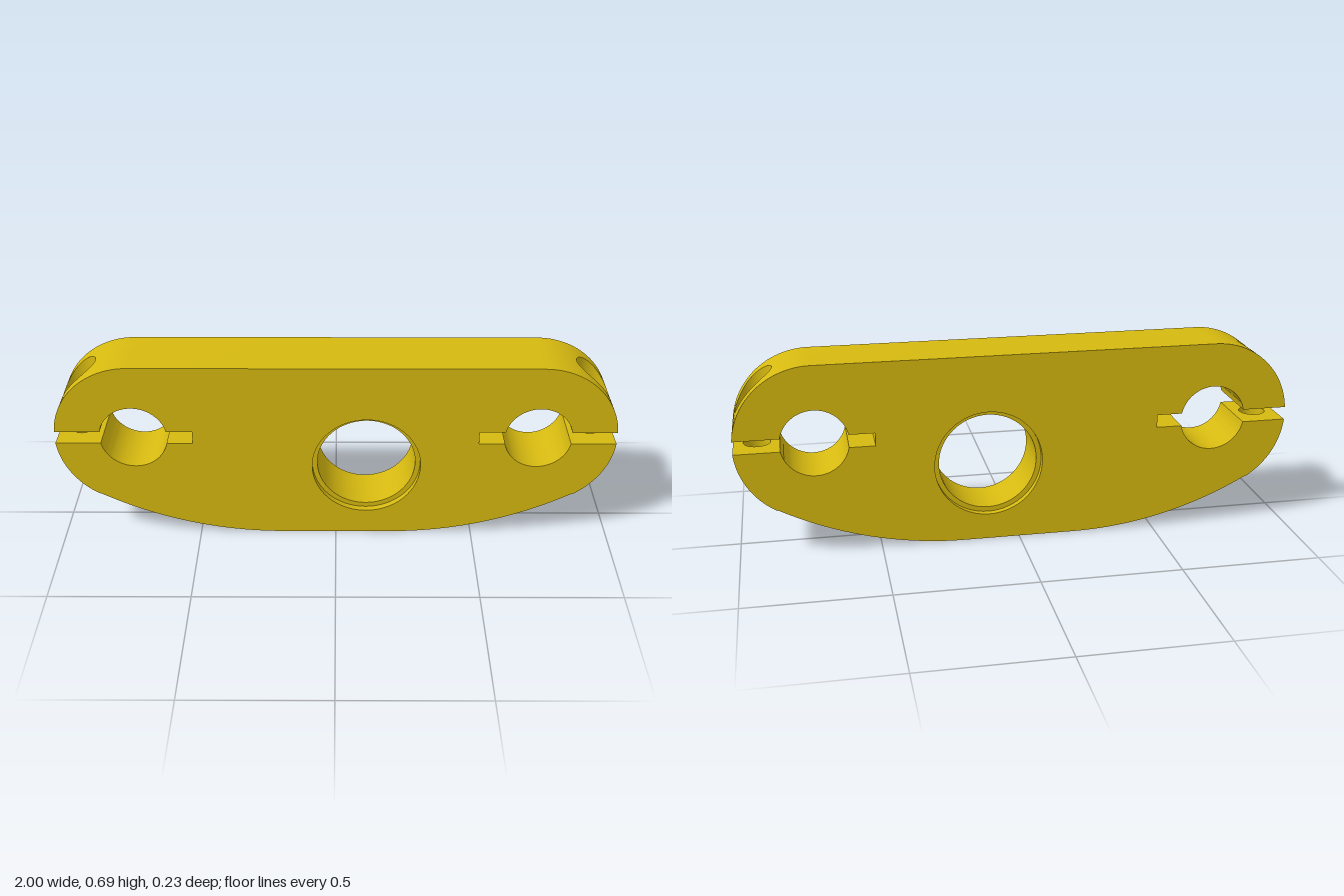
import * as THREE from 'three';
import { toCreasedNormals } from 'three/addons/utils/BufferGeometryUtils.js';

const H = 0.117;                          // half thickness
const CX = 0.72, CY = 0.41, R = 0.28;     // rounded end
const CLAMP_R = 0.12, GAP = 0.0235;       // clamp bore and half slot height
const BOLT_X = 0.917, HEAD_R = 0.069, SHANK_R = 0.043, THREAD_R = 0.0475;
const HUB_X = 0.11, HUB_Y = 0.29;

const range = (n, f) => Array.from({ length: n + 1 }, (_, i) => f(i / n));
const arc = (cx, cy, r, a0, a1, n) =>
  range(n, t => {
    const a = a0 + (a1 - a0) * t;
    return [cx + r * Math.cos(a), cy + r * Math.sin(a)];
  });
// x stations across a bolt hole, dense enough to trace its rim
const boltXs = r => range(16, t => BOLT_X + r * Math.cos(Math.PI * t));

// end arc between two angles, with extra stations at the bolt hole
function endArc(a0, a1, sign, r) {
  const angles = range(24, t => a0 + (a1 - a0) * t)
    .concat(boltXs(r).map(x => sign * Math.acos((x - CX) / R)))
    .sort((a, b) => a - b);
  return angles.map(a => [CX + R * Math.cos(a), CY + R * Math.sin(a)]);
}

// right half of the outline, counter-clockwise; bolt = hole radius cut in that stretch
function outlineSections() {
  const aSlot = Math.asin(GAP / R), aClamp = Math.asin(GAP / CLAMP_R);
  const tipX = CX + R * Math.cos(aSlot), mouthX = CX + CLAMP_R * Math.cos(aClamp);
  const innerX = 0.51, lo = CY - GAP, hi = CY + GAP;
  const bellyR = 1.366, aEnd = -Math.PI / 2 + 0.504;
  const slotXs = r => [tipX, ...boltXs(r).sort((a, b) => b - a), mouthX];
  return [
    { pts: [[0, 0], ...arc(0.2, bellyR, bellyR, -Math.PI / 2, aEnd, 20)] },
    { pts: endArc(-1.04, -aSlot, -1, THREAD_R), bolt: THREAD_R },
    { pts: slotXs(THREAD_R).map(x => [x, lo]), bolt: THREAD_R },
    { pts: arc(CX, CY, CLAMP_R, -aClamp, -Math.PI + aClamp, 32) },
    { pts: [[innerX, lo], [innerX, hi]] },
    { pts: arc(CX, CY, CLAMP_R, Math.PI - aClamp, aClamp, 32) },
    { pts: slotXs(SHANK_R).reverse().map(x => [x, hi]), bolt: SHANK_R },
    { pts: endArc(aSlot, Math.PI / 2, 1, HEAD_R), bolt: HEAD_R },
    { pts: [[0, CY + R]] },
  ];
}

// edge wall swept along the outline, leaving gaps where bolt holes break through
function wallGeometry(sections) {
  const pos = [];
  const quad = (p, q, z) => {
    const a = [...p, z[0]], b = [...q, z[1]], c = [...q, z[2]], d = [...p, z[3]];
    pos.push(...a, ...b, ...c, ...a, ...c, ...d);
  };
  let last = null;
  for (const { pts, bolt = 0 } of sections) {
    const half = x => Math.sqrt(Math.max(0, bolt * bolt - (x - BOLT_X) ** 2));
    for (const p of pts) {
      if (last && Math.hypot(p[0] - last[0], p[1] - last[1]) > 1e-6) {
        const w0 = half(last[0]), w1 = half(p[0]);
        quad(last, p, [w0, w1, H, H]);
        quad(last, p, [-H, -H, -w1, -w0]);
      }
      last = p;
    }
  }
  const geo = new THREE.BufferGeometry();
  geo.setAttribute('position', new THREE.Float32BufferAttribute(pos, 3));
  return toCreasedNormals(geo, 0.5);
}

// flat face with the hub opening
function faceGeometry(sections, hubX) {
  const right = sections.flatMap(s => s.pts);
  const left = right.map(([x, y]) => [-x, y]).reverse();
  const pts = [...right, ...left]
    .map(p => new THREE.Vector2(...p))
    .filter((p, i, all) => i === 0 || p.distanceTo(all[i - 1]) > 1e-6);
  if (pts[0].distanceTo(pts[pts.length - 1]) < 1e-6) pts.pop();
  const shape = new THREE.Shape(pts);
  const hub = new THREE.Path();
  hub.absarc(hubX, HUB_Y, 0.195, 0, Math.PI * 2, true);
  shape.holes.push(hub);
  return new THREE.ShapeGeometry(shape, 32);
}

const lathe = (pts, n) => new THREE.LatheGeometry(pts.map(p => new THREE.Vector2(...p)), n);

// inside of a bolt hole; its outer rim follows the rounded end
function boltHoleGeometry(pts) {
  const geo = lathe(pts, 32).translate(BOLT_X, 0, 0);
  const pos = geo.attributes.position;
  for (let i = 0; i < pos.count; i++) {
    const y = pos.getY(i);
    const rise = Math.sqrt(R * R - (pos.getX(i) - CX) ** 2);
    if (y > 0.6) pos.setY(i, CY + rise);
    if (y < 0.3) pos.setY(i, CY - rise);
  }
  return toCreasedNormals(geo, 0.5);
}

export function createModel() {
  const gold = new THREE.MeshStandardMaterial({ color: 0xd6b910 });
  gold.name = 'gold';
  const mesh = (name, geo) => {
    const m = new THREE.Mesh(geo, gold);
    m.name = name;
    return m;
  };
  const model = new THREE.Group();
  model.name = 'clampPlate';
  const sections = outlineSections();

  // front and back faces
  const front = mesh('frontFace', faceGeometry(sections, HUB_X));
  front.position.z = H;
  const back = mesh('backFace', faceGeometry(sections, -HUB_X));
  back.position.z = -H;
  back.rotation.y = Math.PI;
  model.add(front, back);

  // edge walls and bolt holes; a half turn gives the matching left side
  const wall = wallGeometry(sections);
  const headHole = boltHoleGeometry([
    [HEAD_R, 0.66], [HEAD_R, 0.495], [SHANK_R, 0.495], [SHANK_R, CY + GAP]]);
  const threadHole = boltHoleGeometry([[THREAD_R, CY - GAP], [THREAD_R, 0.2]]);
  for (const side of ['left', 'right']) {
    const half = new THREE.Group();
    half.name = side + 'Clamp';
    half.add(mesh('edgeWall', wall), mesh('boltHeadHole', headHole), mesh('boltThreadHole', threadHole));
    if (side === 'right') half.rotation.y = Math.PI;
    model.add(half);
  }

  // hub bore with a shallow recess on both faces
  const d = H - 0.025;
  const hub = toCreasedNormals(
    lathe([[0.195, H], [0.195, d], [0.177, d], [0.177, -d], [0.195, -d], [0.195, -H]], 64), 0.5);
  hub.rotateX(Math.PI / 2).translate(HUB_X, HUB_Y, 0);
  model.add(mesh('hubBore', hub));
  return model;
}
